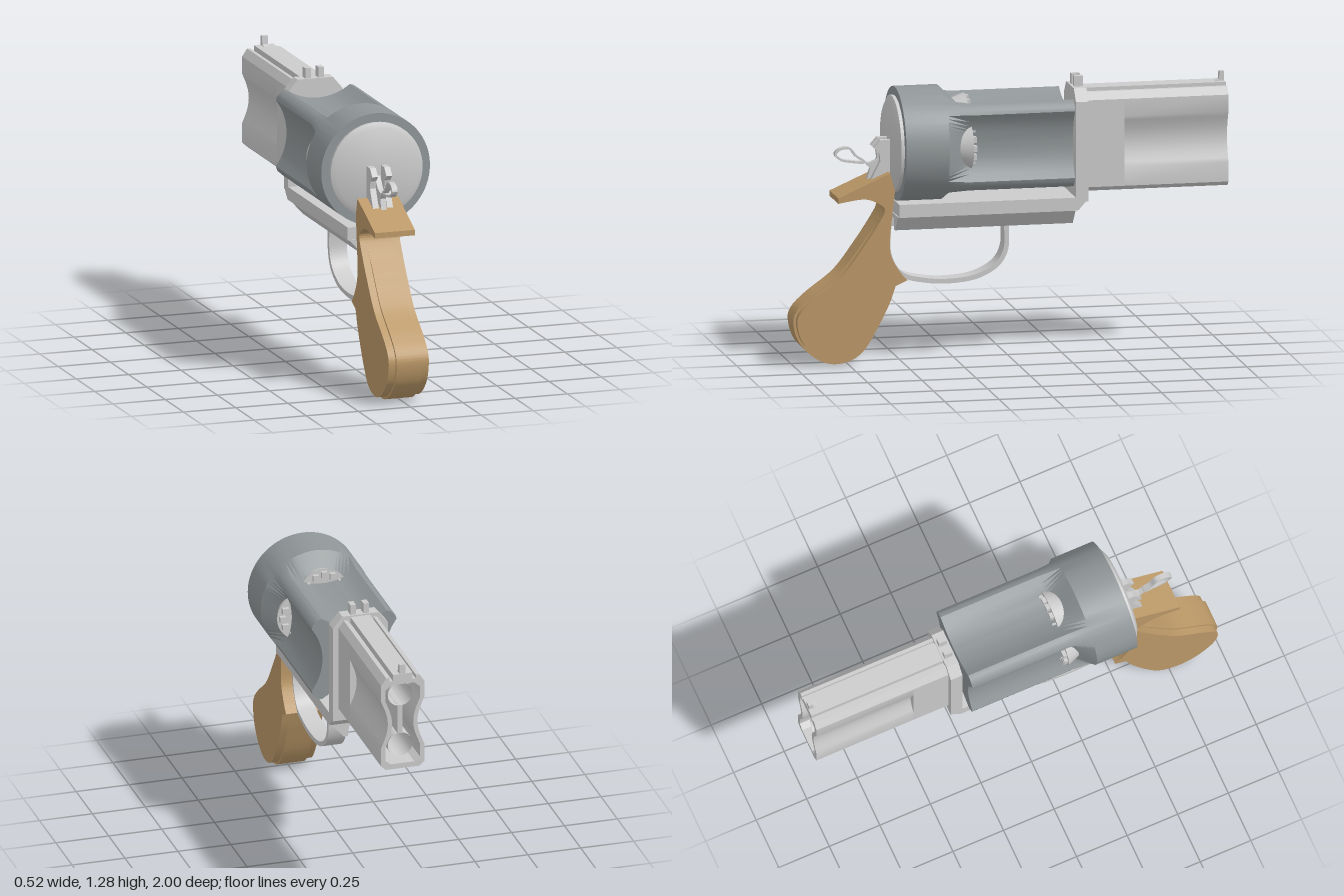
import * as THREE from 'three';
import { toCreasedNormals } from 'three/addons/utils/BufferGeometryUtils.js';

const steel = new THREE.MeshStandardMaterial({ color: 0xcccccc, side: THREE.DoubleSide });
const darkSteel = new THREE.MeshStandardMaterial({ color: 0x909698 });
const wood = new THREE.MeshStandardMaterial({ color: 0xbc9968 });
const CX = -0.005; // frame centre line
const AXIS = 1.0; // height of the drum axis

function createMesh(name, geometry, material = steel) {
  const m = new THREE.Mesh(geometry, material);
  m.name = name;
  return m;
}
const vec = (pts) => pts.map(([a, b]) => new THREE.Vector2(a, b));
const smooth = (g) => toCreasedNormals(g, 0.6);

// Side outline in (-z, y), extruded across x
function acrossX(shape, width, x = CX) {
  const g = new THREE.ExtrudeGeometry(shape, { depth: width, bevelEnabled: false, curveSegments: 40 });
  g.translate(0, 0, -width / 2).rotateY(Math.PI / 2).translate(x, 0, 0);
  return smooth(g);
}
const sideShape = (pts) => new THREE.Shape(vec(pts.map(([z, y]) => [-z, y])));

// Section in (x, y), extruded from z0 to z1
function alongZ(shape, z0, z1) {
  const g = new THREE.ExtrudeGeometry(shape, { depth: z1 - z0, bevelEnabled: false });
  return smooth(g.translate(CX, 0, z0));
}
// Right half of a section, bottom to top, completed by its mirror image
const mirrored = (half) => vec([...half, ...half.map(([x, y]) => [-x, y]).reverse()]);

function box(name, w, h, d, x, y, z) {
  return createMesh(name, new THREE.BoxGeometry(w, h, d).translate(x, y, z));
}

// Flat strip of constant thickness following a side path
function band(points, thickness, width, closed = false) {
  const curve = new THREE.CatmullRomCurve3(points.map(([z, y]) => new THREE.Vector3(-z, y, 0)), closed);
  const outer = [], inner = [];
  for (let i = 0; i <= 48; i++) {
    const p = curve.getPointAt(i / 48), t = curve.getTangentAt(i / 48);
    const nx = -t.y * thickness / 2, ny = t.x * thickness / 2;
    outer.push([p.x + nx, p.y + ny]);
    inner.push([p.x - nx, p.y - ny]);
  }
  if (!closed) return acrossX(new THREE.Shape(vec([...outer, ...inner.reverse()])), width);
  const shape = new THREE.Shape(vec(outer.slice(0, 48)));
  const hole = new THREE.Path(vec(inner.slice(0, 48)));
  const swap = Math.abs(THREE.ShapeUtils.area(vec(outer))) < Math.abs(THREE.ShapeUtils.area(vec(inner)));
  const rim = swap ? new THREE.Shape(vec(inner.slice(0, 48))) : shape;
  rim.holes.push(swap ? new THREE.Path(vec(outer.slice(0, 48))) : hole);
  return acrossX(rim, width);
}

// Drum radius at an angle: four concave flutes between narrow lands
function fluteRadius(a) {
  const q = Math.PI / 2, phi = a - Math.round(a / q) * q;
  if (Math.abs(phi) > 0.66) return 0.26;
  const c = 0.41, s = c * Math.sin(phi);
  return c * Math.cos(phi) - Math.sqrt(0.26 * 0.26 - s * s);
}

function drumGeometry() {
  const n = 96, round = () => 0.26, zero = () => 0;
  const rings = [[-0.27, zero], [-0.27, fluteRadius], [0.21, fluteRadius], [0.32, round], [0.52, round], [0.52, zero]];
  const pos = [], index = [];
  rings.forEach(([z, radius], k) => {
    for (let i = 0; i < n; i++) {
      const a = (i / n) * Math.PI * 2, r = radius(a);
      pos.push(r * Math.cos(a), AXIS + r * Math.sin(a), z);
      if (k === 0) continue;
      const j = (i + 1) % n, p = (k - 1) * n, c = k * n;
      index.push(p + i, p + j, c + j, p + i, c + j, c + i);
    }
  });
  const g = new THREE.BufferGeometry();
  g.setAttribute('position', new THREE.Float32BufferAttribute(pos, 3));
  g.setIndex(index);
  return smooth(g);
}

function createDrum() {
  const drum = new THREE.Group();
  drum.name = 'drum';
  drum.add(createMesh('flutedDrum', drumGeometry(), darkSteel));
  // Rear plate
  const plate = new THREE.LatheGeometry(vec([[0.22, 0.515], [0.22, 0.535], [0.195, 0.548], [0, 0.548]]), 64);
  drum.add(createMesh('rearPlate', smooth(plate.rotateX(Math.PI / 2).translate(0, AXIS, 0))));
  const pin = new THREE.CylinderGeometry(0.04, 0.04, 0.06, 24).rotateX(Math.PI / 2);
  drum.add(createMesh('axlePin', pin.translate(0, AXIS, -0.28)));
  // Chamber ends showing in the flutes
  for (let k = 0; k < 4; k++) {
    const chamber = new THREE.Group();
    chamber.name = 'chamber';
    const cone = new THREE.CylinderGeometry(0.07, 0.115, 0.12, 32).rotateX(Math.PI / 2);
    chamber.add(createMesh('chamberEnd', smooth(cone.translate(0, 0.105, 0.26))));
    for (let i = -2; i <= 2; i++) {
      chamber.add(box('rimTooth', 0.026, 0.03, 0.02, i * 0.04, 0.195 - 0.012 * i * i, 0.192));
    }
    chamber.position.y = AXIS;
    chamber.rotation.z = k * Math.PI / 2;
    drum.add(chamber);
  }
  return drum;
}

// Barrel section half, with the side hollowed by w
function barrelHalf(w) {
  const waist = [];
  for (let i = 0; i <= 12; i++) waist.push([0.102 - w * Math.sin(Math.PI * i / 12), 0.87 + 0.23 * i / 12]);
  return [[0.08, 0.76], [0.102, 0.78], ...waist, [0.102, 1.18], [0.078, 1.215], [0.062, 1.215],
    [0.062, 1.197], [0.046, 1.197], [0.046, 1.228]];
}

function createBarrel() {
  const barrel = new THREE.Group();
  barrel.name = 'barrel';
  barrel.add(createMesh('barrelRear', alongZ(new THREE.Shape(mirrored(barrelHalf(0))), -0.52, -0.34)));
  const section = new THREE.Shape(mirrored(barrelHalf(0.032)));
  const hollow = [[0.055, 0.785], [0.082, 0.805]];
  for (let i = 0; i <= 12; i++) hollow.push([0.082 - 0.032 * Math.sin(Math.PI * i / 12), 0.87 + 0.23 * i / 12]);
  hollow.push([0.082, 1.155], [0.055, 1.178]);
  section.holes.push(new THREE.Path(mirrored(hollow)));
  barrel.add(createMesh('barrelShell', alongZ(section, -1, -0.52)));
  // Upper and lower bores joined by a web
  for (const y of [1.11, 0.86]) {
    const bore = new THREE.CylinderGeometry(0.058, 0.058, 0.44, 32, 1, true).rotateX(Math.PI / 2);
    barrel.add(createMesh('bore', bore.translate(CX, y, -0.74)));
  }
  barrel.add(box('boreWeb', 0.025, 0.14, 0.44, CX, 0.985, -0.74));
  // Front sight
  const sight = [[-0.93, 1.22], [-0.975, 1.235], [-0.978, 1.272], [-0.998, 1.272], [-0.998, 1.2], [-0.93, 1.2]];
  barrel.add(createMesh('frontSight', acrossX(sideShape(sight), 0.028)));
  return barrel;
}

function createFrame() {
  const frame = new THREE.Group();
  frame.name = 'frame';
  // Lower bar, with the rising front post
  const bar = [[0.525, 0.68], [0.525, 0.74], [-0.29, 0.74], [-0.31, 0.76], [-0.345, 0.73], [-0.3, 0.68]];
  frame.add(createMesh('lowerBar', acrossX(sideShape(bar), 0.26)));
  const post = mirrored([[0.13, 0.72], [0.13, 1.18], [0.085, 1.235]]);
  frame.add(createMesh('frontPost', alongZ(new THREE.Shape(post), -0.348, -0.29)));
  // Tapered trough under the bar
  const trough = mirrored([[0.035, 0.66], [0.04, 0.61], [0.06, 0.61], [0.125, 0.682]]);
  frame.add(createMesh('underTrough', alongZ(new THREE.Shape(trough), -0.29, 0.53)));
  // Rear sight posts
  for (const s of [-1, 1]) frame.add(box('rearSight', 0.026, 0.06, 0.04, CX + s * 0.031, 1.253, -0.32));
  // Trigger guard
  const guard = [[0.55, 0.68], [0.555, 0.5], [0.5, 0.405], [0.385, 0.37], [0.265, 0.363], [0.14, 0.382],
    [0.05, 0.435], [0.015, 0.5], [0.012, 0.62]];
  frame.add(createMesh('triggerGuard', band(guard, 0.022, 0.085)));
  return frame;
}

// Grip outline; inset pulls the rounded butt toward its middle
function gripShape(inset) {
  const fit = ([z, y]) => (y < 0.6 && z > 0.6
    ? new THREE.Vector2(-(z + (0.8 - z) * inset), y + (0.2 - y) * inset) : new THREE.Vector2(-z, y));
  const back = [[0.68, 0.765], [0.61, 0.74], [0.585, 0.71], [0.61, 0.655], [0.68, 0.56], [0.785, 0.425],
    [0.92, 0.32], [0.985, 0.255], [1, 0.195], [0.97, 0.105], [0.89, 0.03], [0.8, 0.005], [0.705, 0.035],
    [0.635, 0.12], [0.57, 0.265], [0.535, 0.36]];
  const front = [[0.515, 0.425], [0.555, 0.5], [0.56, 0.585], [0.55, 0.69], [0.538, 0.8]];
  const shape = new THREE.Shape();
  shape.moveTo(-0.56, 0.88);
  shape.lineTo(-0.8, 0.775);
  shape.lineTo(-0.8, 0.75);
  shape.splineThru(back.map(fit));
  shape.lineTo(-0.48, 0.385);
  shape.splineThru(front.map(fit));
  return shape;
}

function createGrip() {
  const grip = new THREE.Group();
  grip.name = 'grip';
  grip.add(createMesh('gripCore', acrossX(gripShape(0), 0.125), wood));
  for (const s of [-1, 1]) {
    grip.add(createMesh('gripPanel', acrossX(gripShape(0.06), 0.034, CX + s * 0.079), wood));
  }
  return grip;
}

function createHammer() {
  const hammer = new THREE.Group();
  hammer.name = 'hammer';
  const cheek = [[0.55, 0.84], [0.55, 1.025], [0.595, 1.025], [0.625, 0.99], [0.6, 0.965], [0.595, 0.93], [0.64, 0.84]];
  for (const s of [-1, 1]) {
    hammer.add(createMesh('hammerCheek', acrossX(sideShape(cheek), 0.028, CX + s * 0.034)));
  }
  // Looped thumb spur
  const loop = [[0.66, 0.92], [0.73, 0.925], [0.77, 0.935], [0.795, 0.96], [0.775, 0.982], [0.73, 0.985], [0.7, 0.95]];
  hammer.add(createMesh('spurLoop', band(loop, 0.01, 0.026, true)));
  const stem = [[0.67, 0.93], [0.635, 0.89], [0.65, 0.84], [0.56, 0.84], [0.56, 0.98], [0.6, 0.93], [0.64, 0.915]];
  hammer.add(createMesh('spurStem', acrossX(sideShape(stem), 0.026)));
  return hammer;
}

export function createModel() {
  const model = new THREE.Group();
  model.name = 'revolver';
  model.add(createDrum(), createBarrel(), createFrame(), createGrip(), createHammer());
  return model;
}
